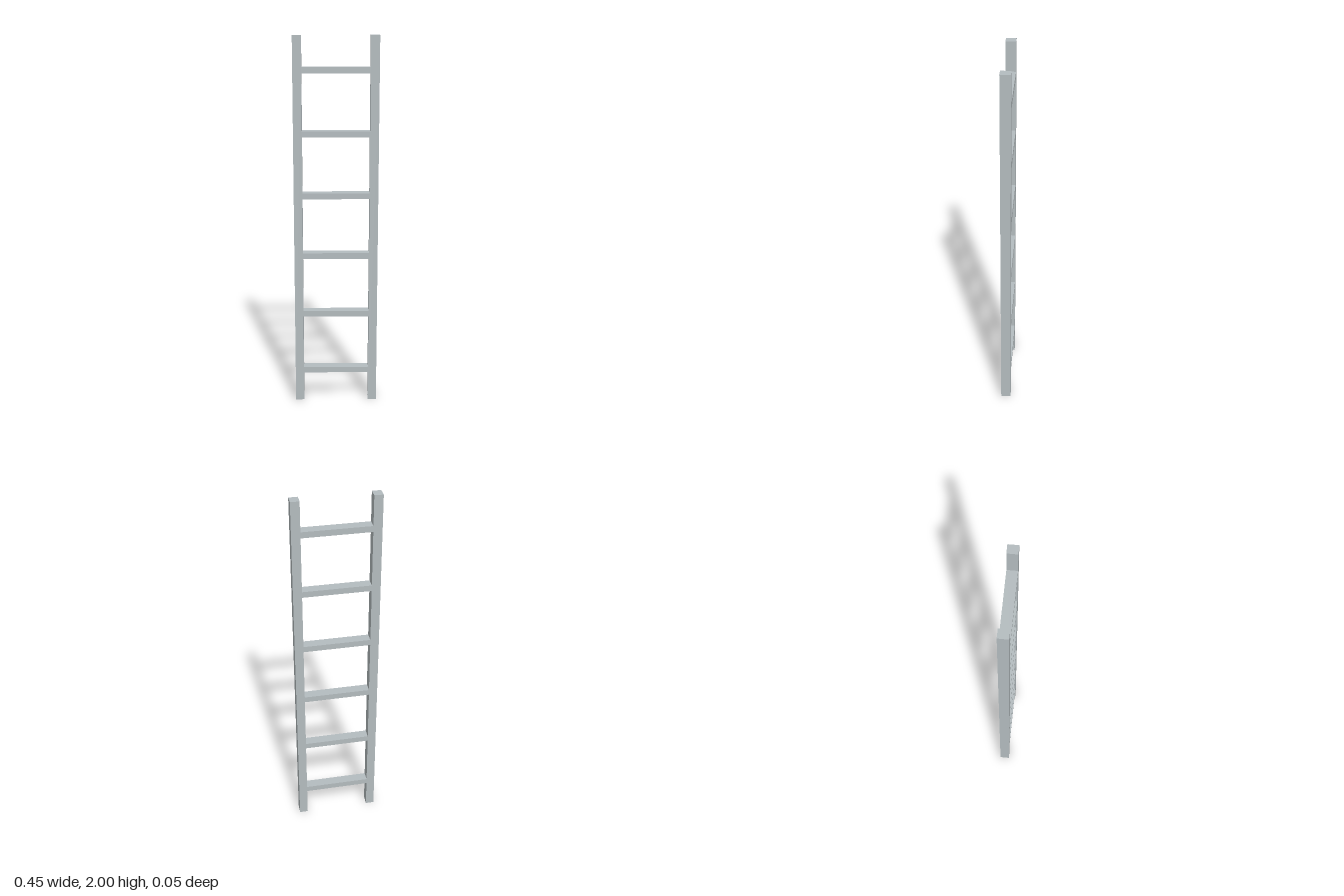
import * as THREE from 'three';

export function createModel() {
  const ladder = new THREE.Group();
  ladder.name = 'ladder';

  const metal = new THREE.MeshStandardMaterial({ color: 0xb4bcbf });
  metal.name = 'greyMetal';

  const depth = 0.053;
  const railWidth = 0.046;
  const railX = 0.201;
  const innerWidth = 2 * railX - railWidth;

  function addBar(name, width, height, x, y) {
    const bar = new THREE.Mesh(new THREE.BoxGeometry(width, height, depth), metal);
    bar.name = name;
    bar.position.set(x, y, 0);
    ladder.add(bar);
  }

  // Upright side rails
  addBar('leftRail', railWidth, 2, railX, 1);
  addBar('rightRail', railWidth, 2, -railX, 1);

  // Six evenly spaced rungs between the rails
  for (let i = 0; i < 6; i++) {
    addBar(`rung${i + 1}`, innerWidth, 0.032, 0, 0.179 + i * 0.3292);
  }

  return ladder;
}
